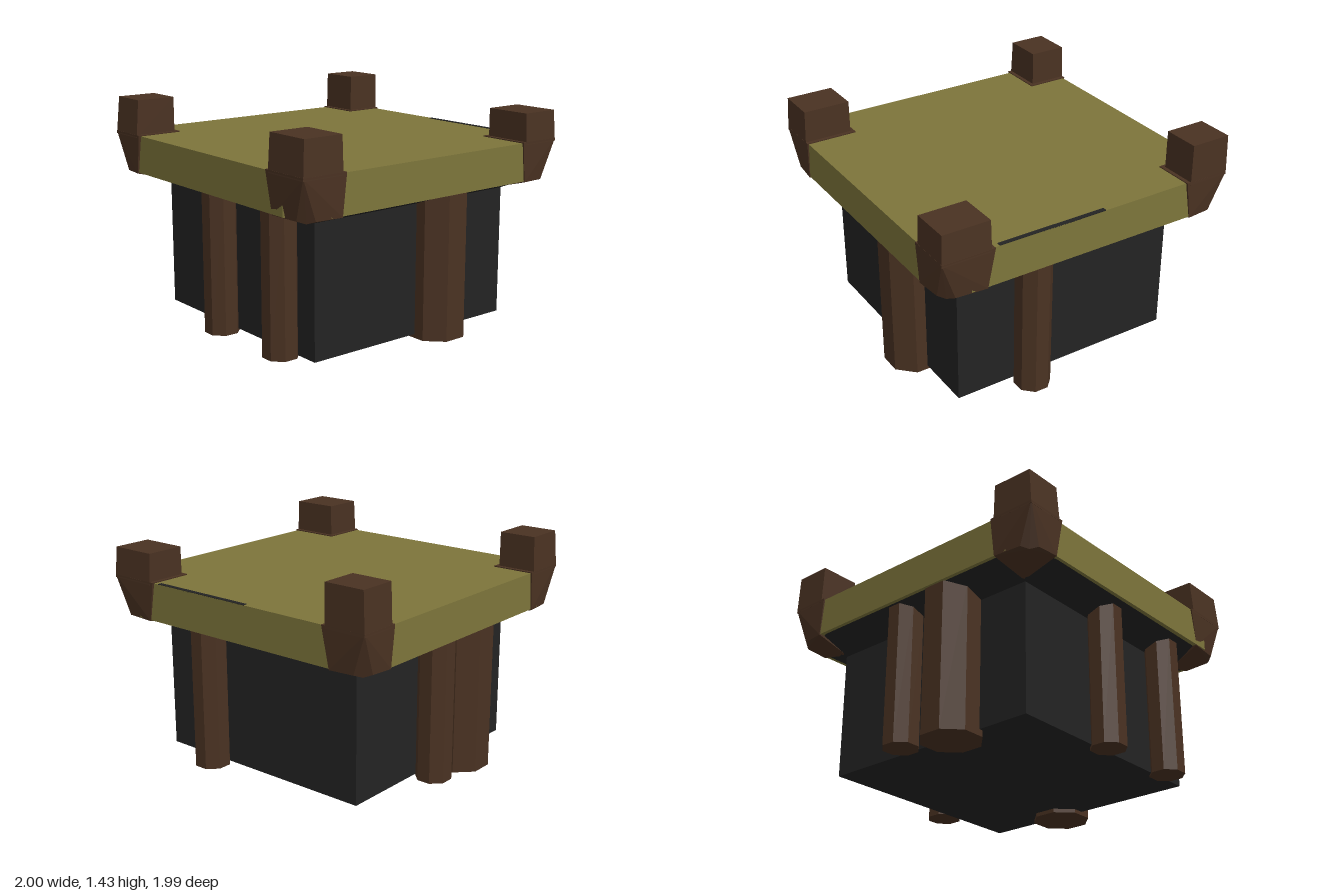
import * as THREE from 'three';
import { ConvexGeometry } from 'three/addons/geometries/ConvexGeometry.js';

export function createModel() {
  const mat = (name, color) => {
    const m = new THREE.MeshStandardMaterial({ color, flatShading: true });
    m.name = name;
    return m;
  };
  const wood = mat('dark wood', 0x4a3222);
  const moss = mat('olive roof', 0x7d753b);
  const black = mat('charcoal', 0x232323);

  const model = new THREE.Group();
  model.name = 'platform';
  const add = (name, geometry, material, x = 0, y = 0, z = 0) => {
    const mesh = new THREE.Mesh(geometry, material);
    mesh.name = name;
    mesh.position.set(x, y, z);
    model.add(mesh);
    return mesh;
  };
  const hull = (points) => new ConvexGeometry(points.map((p) => new THREE.Vector3(...p)));
  const square = (x0, x1, z0, z1, y) => [[x0, y, z0], [x1, y, z0], [x1, y, z1], [x0, y, z1]];

  // Body block and the flared underside of the roof
  add('body', hull([
    ...square(-0.75, 0.76, -0.75, 0.77, 0.04),
    ...square(-0.75, 0.76, -0.75, 0.77, 0.9),
  ]), black);
  add('flaredEave', hull([
    ...square(-0.75, 0.76, -0.75, 0.77, 0.865),
    ...[[-1, -1], [1, -1], [1, 1], [-1, 1]].flatMap(([sx, sz]) => [
      [0.73 * sx, 0.943, 0.97 * sz], [0.97 * sx, 0.943, 0.73 * sz], [0.9 * sx, 0.943, 0.9 * sz],
    ]),
  ]), black);

  // Roof slab with its corners cut back behind the posts
  const outline = new THREE.Shape();
  [[-0.8, -0.985], [0.8, -0.985], [0.9, -0.9], [0.985, -0.8], [0.985, 0.8], [0.9, 0.9],
    [0.8, 0.985], [-0.8, 0.985], [-0.9, 0.9], [-0.992, 0.8], [-0.982, -0.8], [-0.9, -0.9],
  ].forEach(([x, z], i) => (i ? outline.lineTo(x, -z) : outline.moveTo(x, -z)));
  const slab = new THREE.ExtrudeGeometry(outline, { depth: 0.242, bevelEnabled: false });
  slab.rotateX(-Math.PI / 2);
  add('roofSlab', slab, moss, 0, 0.94, 0);
  add('roofEdgeStrip', new THREE.BoxGeometry(0.028, 0.006, 0.72), black, 0.971, 1.182, 0.26);

  // Corner posts: square cap over a wider foot that tapers under the roof
  // [name, side x, side z, inner x, outer x, inner z, outer z, top]
  const posts = [
    ['frontRightPost', -1, 1, 0.725, 0.985, 0.68, 0.985, 1.395],
    ['frontLeftPost', 1, 1, 0.735, 0.99, 0.68, 0.985, 1.365],
    ['backRightPost', -1, -1, 0.72, 0.98, 0.74, 0.985, 1.41],
    ['backLeftPost', 1, -1, 0.76, 0.998, 0.72, 0.985, 1.43],
  ];
  for (const [name, sx, sz, x0, x1, z0, z1, top] of posts) {
    const place = (pts) => hull(pts.map(([x, y, z]) => [x * sx, y, z * sz]));
    add(name + 'Cap', place([
      ...square(x0, x1, z0, z1, top), ...square(x0, 1, z0, 0.995, 1.17),
    ]), wood);
    add(name + 'Foot', place([
      ...square(x0 - 0.025, 1, z0 - 0.025, 0.995, 1.188),
      [x0, 0.935, 0.99], [0.99, 0.935, z0 + 0.02], [0.975, 0.935, 0.9], [0.9, 0.935, 0.975],
      [0.935, 0.92, 0.935], [0.75, 0.87, 0.76],
    ]), wood);
  }

  // Octagonal support columns: [name, x, z, flat-to-flat radius, bottom]
  const columns = [
    ['frontColumn', 0.205, 0.77, 0.175, 0.015],
    ['leftColumn', 0.87, 0.315, 0.105, 0.055],
    ['backLargeColumn', -0.235, -0.795, 0.175, 0],
    ['backSmallColumn', 0.12, -0.845, 0.105, 0.03],
    ['rightBackColumn', -0.815, -0.08, 0.103, 0.02],
    ['rightFrontColumn', -0.815, 0.53, 0.103, 0.03],
  ];
  for (const [name, x, z, r, bottom] of columns) {
    const radius = r / Math.cos(Math.PI / 8);
    const h = 0.94 - bottom;
    const g = new THREE.CylinderGeometry(radius, radius, h, 8);
    g.rotateY(Math.PI / 8);
    add(name, g, wood, x, bottom + h / 2, z);
  }
  return model;
}
